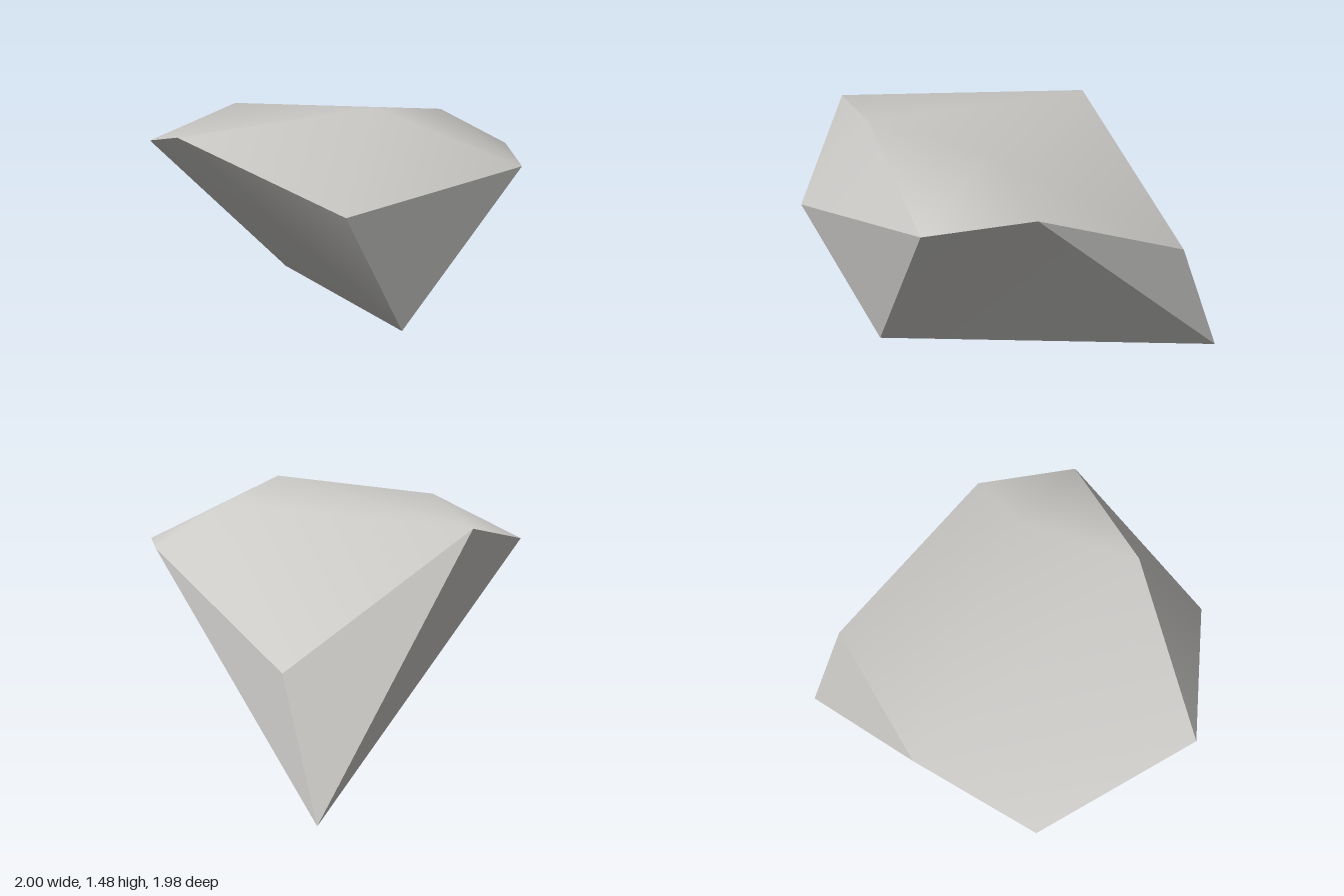
import * as THREE from 'three';
import { mergeVertices } from 'three/addons/utils/BufferGeometryUtils.js';

// Corners of the boulder
const corners = {
  A: [-1.0, 1.33, 0.31],   // left tip
  B: [-0.06, 1.48, 0.73],  // peak
  C: [0.725, 1.14, 0.965],
  D: [-0.38, 0.97, 0.99],
  E: [0.08, 0.26, 0.80],   // lower front
  F: [1.0, 1.18, 0.45],
  G: [0.97, 0.70, -0.68],
  H: [1.0, 0.0, -0.99],    // foot
  I: [-0.13, 1.34, -0.90],
  J: [-0.81, 1.18, -0.63],
  K: [0.57, 1.40, 0.40],
  L: [-0.12, 0.42, -0.21], // underside
};

// Faces of the boulder; each facet is named by its corners, counter-clockwise from outside
const faces = {
  top: 'AIJ ABI BKI BCK KCF KFG KGI',
  frontSlope: 'ADB DCB',
  frontFace: 'DEC',
  sideFace: 'EFC FEH',
  sideBevel: 'FHG',
  backBevel: 'GHI',
  backFace: 'IHJ',
  underside: 'JHL HEL ALE AJL AED',
};

// Each face is smooth inside and sharp along its outline
function faceGeometry(facets) {
  const points = facets.split(' ').flatMap((facet) => [...facet].flatMap((key) => corners[key]));
  const geometry = new THREE.BufferGeometry();
  geometry.setAttribute('position', new THREE.Float32BufferAttribute(points, 3));
  const merged = mergeVertices(geometry);
  merged.computeVertexNormals();
  return merged;
}

export function createModel() {
  const stone = new THREE.MeshStandardMaterial({ color: 0xcbcac7 });
  stone.name = 'stone grey';

  const model = new THREE.Group();
  model.name = 'boulder';
  for (const [name, facets] of Object.entries(faces)) {
    const face = new THREE.Mesh(faceGeometry(facets), stone);
    face.name = name;
    model.add(face);
  }
  return model;
}
